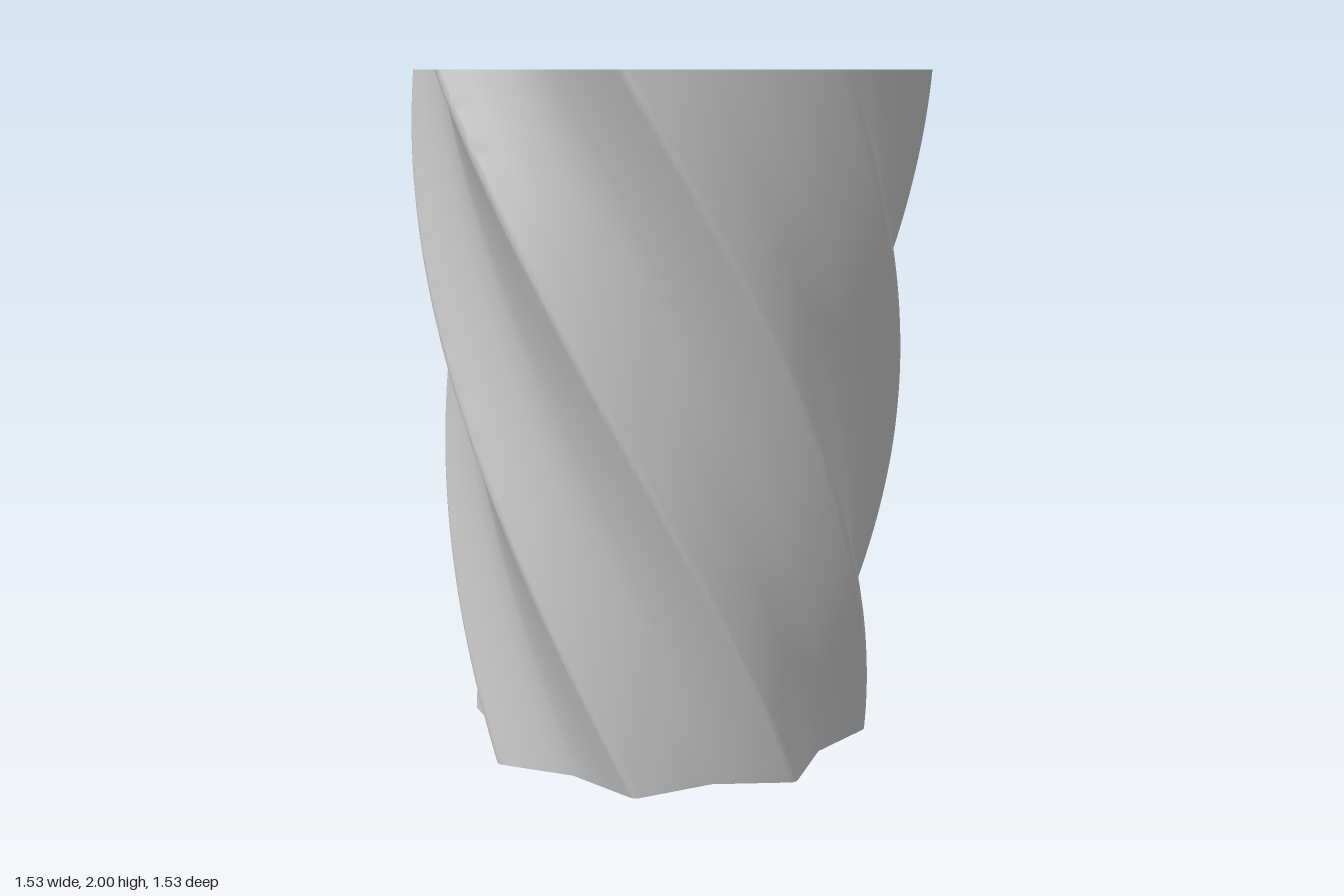
import * as THREE from 'three';
import { toCreasedNormals } from 'three/addons/utils/BufferGeometryUtils.js';

const HEIGHT = 2, FLOOR = 0.08, LAYERS = 96;
const POINTS = 8, STEP = Math.PI * 2 / POINTS;
const TWIST = Math.PI / 4;                       // turn per unit of height
const radiusAt = (y) => 0.616 + 0.075 * y;       // tip radius grows upward

// Eight-pointed star with softly rounded tips, as [x, z] of unit size
function starProfile(tip, valley, round) {
  const at = (r, a) => new THREE.Vector2(r * Math.sin(a), r * Math.cos(a));
  const pts = [];
  for (let i = 0; i < POINTS; i++) {
    const a = i * STEP;
    const v0 = at(valley, a - STEP / 2), v1 = at(valley, a + STEP / 2), t = at(tip, a);
    const k = round / t.distanceTo(v0);
    const p0 = t.clone().lerp(v0, k), p1 = t.clone().lerp(v1, k);
    for (let j = 0; j < 4; j++) pts.push(v0.clone().lerp(p0, j / 4));
    pts.push(...new THREE.QuadraticBezierCurve(p0, t, p1).getPoints(5));
    for (let j = 1; j < 4; j++) pts.push(p1.clone().lerp(v1, j / 4));
  }
  return pts;
}

// The profile scaled and twisted for a height above its own base
function ringAt(profile, h) {
  const s = radiusAt(h), c = Math.cos(h * TWIST), n = Math.sin(h * TWIST);
  return profile.map((p) => new THREE.Vector2((p.x * c - p.y * n) * s, (p.x * n + p.y * c) * s));
}

// Twisted wall from y0 to the rim
function wall(profile, y0, inward) {
  const pos = [], index = [], n = profile.length;
  for (let j = 0; j <= LAYERS; j++) {
    const h = (HEIGHT - y0) * j / LAYERS;
    for (const p of ringAt(profile, h)) pos.push(p.x, y0 + h, p.y);
  }
  for (let j = 0; j < LAYERS; j++) {
    for (let i = 0; i < n; i++) {
      const a = j * n + i, b = j * n + (i + 1) % n, c = b + n, d = a + n;
      if (inward) index.push(a, c, b, a, d, c);
      else index.push(a, b, c, a, c, d);
    }
  }
  const g = new THREE.BufferGeometry();
  g.setAttribute('position', new THREE.Float32BufferAttribute(pos, 3));
  g.setIndex(index);
  return toCreasedNormals(g, 0.6);
}

// Flat face at height y, optionally with a hole
function flat(ring, y, up, hole) {
  const sign = up ? -1 : 1;
  const flip = (r) => r.map((p) => new THREE.Vector2(p.x, sign * p.y));
  const shape = new THREE.Shape(flip(ring));
  if (hole) shape.holes.push(new THREE.Path(flip(hole)));
  return new THREE.ShapeGeometry(shape).rotateX(sign * Math.PI / 2).translate(0, y, 0);
}

export function createModel() {
  const group = new THREE.Group();
  group.name = 'twistedVase';
  const grey = new THREE.MeshStandardMaterial({ color: 0xc4c4c4 });
  grey.name = 'grey';
  const add = (name, geometry) => {
    const mesh = new THREE.Mesh(geometry, grey);
    mesh.name = name;
    group.add(mesh);
  };

  const outer = starProfile(1.008, 0.857, 0.03);
  const inner = starProfile(0.955, 0.812, 0.03);

  add('outerWall', wall(outer, 0, false));
  add('innerWall', wall(inner, FLOOR, true));
  add('rim', flat(ringAt(outer, HEIGHT), HEIGHT, true, ringAt(inner, HEIGHT - FLOOR)));
  add('innerFloor', flat(ringAt(inner, 0), FLOOR, true));
  add('base', flat(ringAt(outer, 0), 0, false));
  return group;
}
